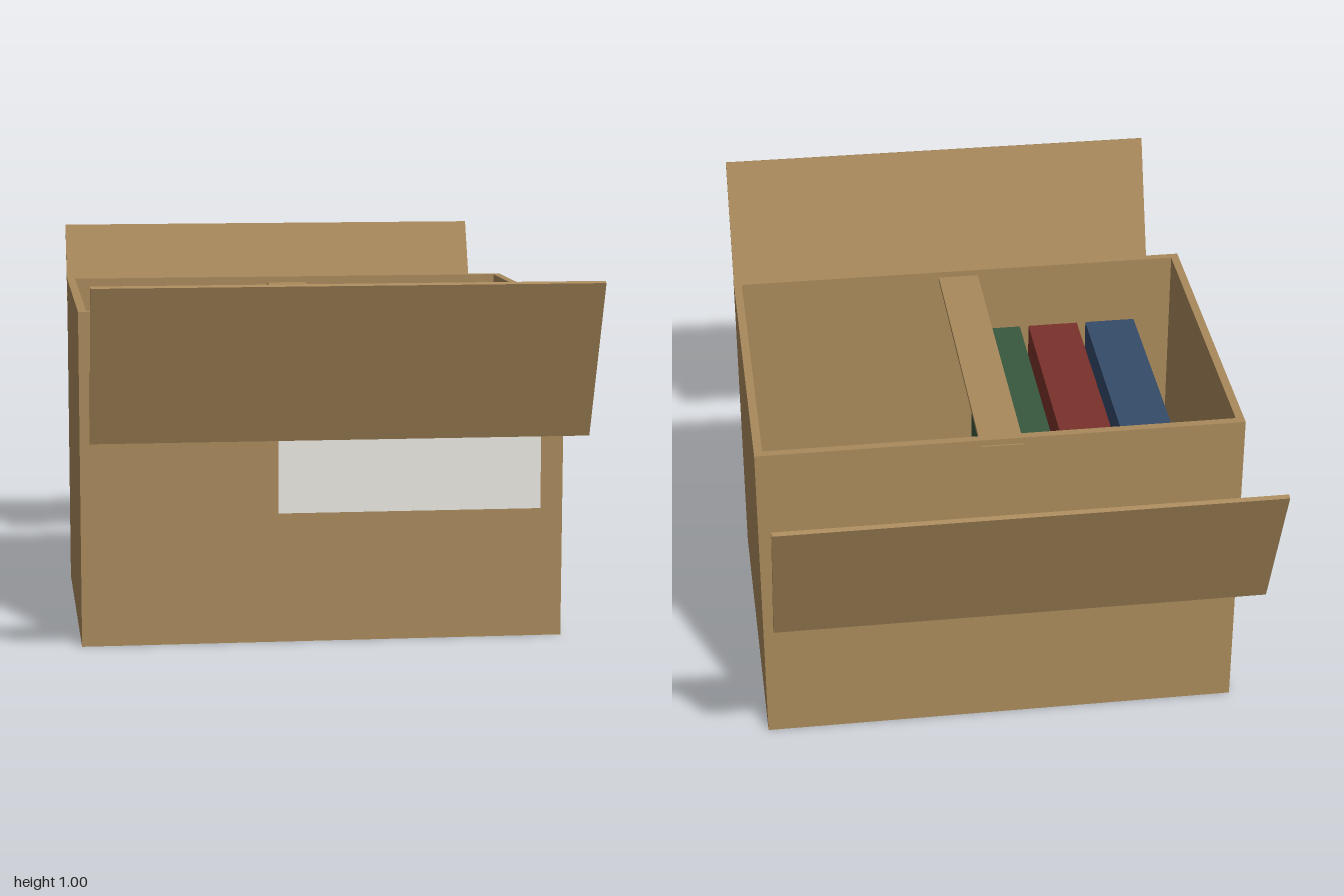
import * as THREE from 'three';

const W = 1.28, H = 0.885, D = 0.93, T = 0.022;

export function createModel() {
  const root = new THREE.Group();
  root.name = 'openBox';

  const material = (name, color) => {
    const m = new THREE.MeshStandardMaterial({ color });
    m.name = name;
    return m;
  };
  const cardboard = material('cardboard', 0xa8895b);
  const paper = material('paper', 0xebe9e3);
  const blue = material('blueCover', 0x354b69);
  const red = material('redCover', 0x7a302a);
  const green = material('greenCover', 0x38583f);

  const add = (name, geometry, mat, x, y, z) => {
    const mesh = new THREE.Mesh(geometry, mat);
    mesh.name = name;
    mesh.position.set(x, y, z);
    root.add(mesh);
    return mesh;
  };
  const box = (name, mat, w, h, d, x, y, z) =>
    add(name, new THREE.BoxGeometry(w, h, d), mat, x, y, z);

  // Four walls as one hollow rectangle, extruded upward
  const rectangle = (Kind, w, d) => new Kind([
    new THREE.Vector2(-w / 2, -d / 2), new THREE.Vector2(w / 2, -d / 2),
    new THREE.Vector2(w / 2, d / 2), new THREE.Vector2(-w / 2, d / 2),
  ]);
  const outline = rectangle(THREE.Shape, W, D);
  outline.holes.push(rectangle(THREE.Path, W - 2 * T, D - 2 * T));
  const walls = new THREE.ExtrudeGeometry(outline, { depth: H, bevelEnabled: false });
  walls.rotateX(-Math.PI / 2);
  add('walls', walls, cardboard, 0, 0, 0);

  // Floor panel
  box('floor', cardboard, W - 2 * T, T, D - 2 * T, 0, T / 2, 0);

  // Front and back flaps, leaning outward
  for (const side of [1, -1]) {
    const flap = box(side > 0 ? 'frontFlap' : 'backFlap', cardboard,
      1.255, 0.433, 0.012, 0, 0.799, side * 0.912);
    flap.rotation.x = side * 0.389;
  }

  // Strip across the opening, its ends just showing through the walls
  box('crossStrip', cardboard, 0.112, 0.012, 0.94, 0, 0.862, 0);

  // Books standing in a row
  [['blueBook', blue], ['redBook', red], ['greenBook', green]].forEach(([name, mat], i) =>
    box(name, mat, 0.14, 0.722, 0.7, -0.425 + i * 0.165, T + 0.361, 0));

  // Blank label on the front
  box('label', paper, 0.7, 0.282, 0.004, 0.23, 0.487, D / 2 + 0.002);

  return root;
}
